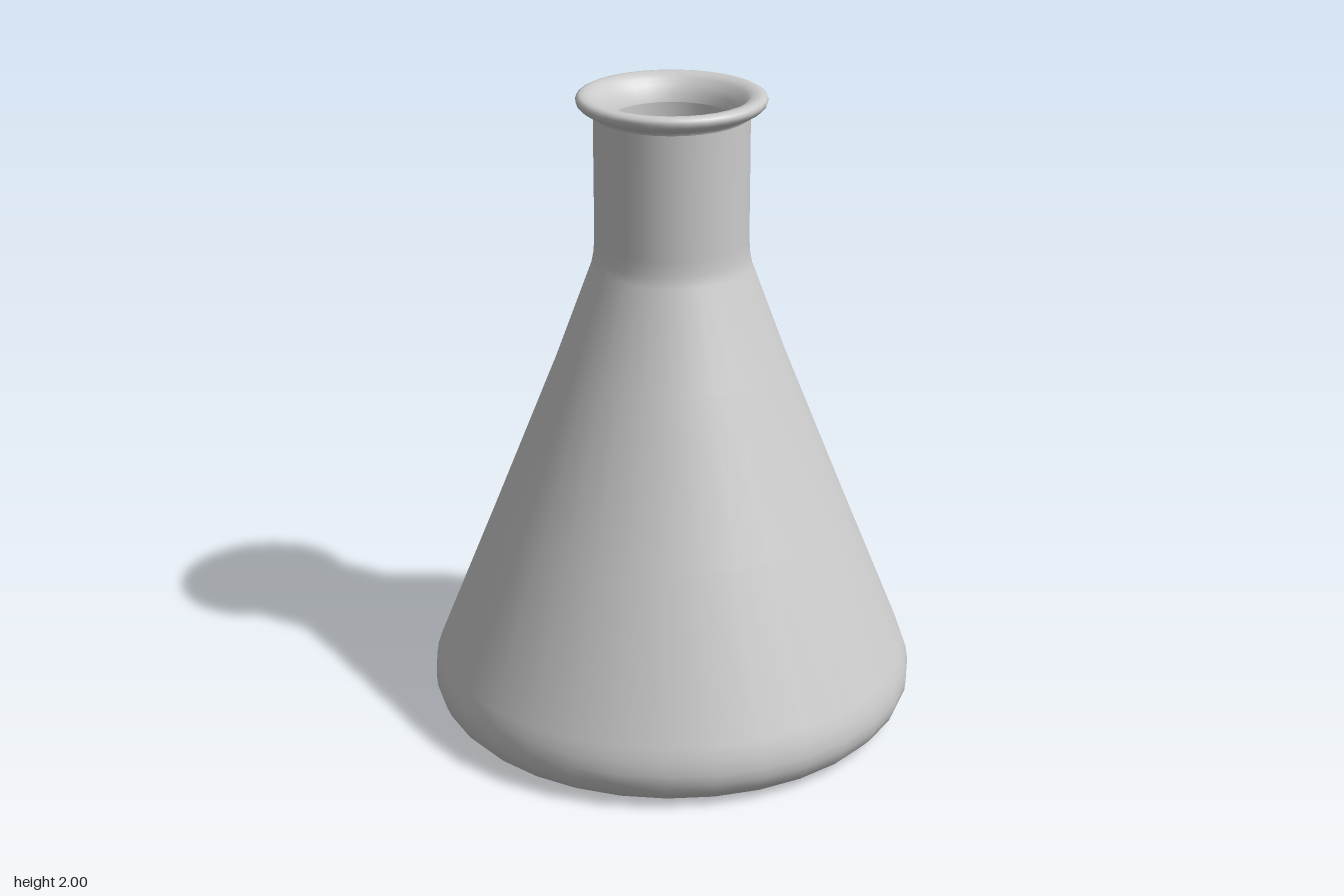
import * as THREE from 'three';

const SEGMENTS = 32;

function lathe(name, profile) {
  const points = profile.map(([r, y]) => new THREE.Vector2(r, y));
  const material = new THREE.MeshStandardMaterial({ color: 0xcccccc });
  const mesh = new THREE.Mesh(new THREE.LatheGeometry(points, SEGMENTS), material);
  mesh.name = name;
  return mesh;
}

export function createModel() {
  const group = new THREE.Group();
  group.name = 'conicalFlask';

  // Outer wall: flat base, rounded heel, cone, shoulder and straight neck
  group.add(lathe('outerWall', [
    [0, 0], [0.655, 0], [0.69, 0.007], [0.72, 0.023], [0.745, 0.05],
    [0.76, 0.085], [0.763, 0.12], [0.757, 0.16], [0.742, 0.205],
    [0.55, 0.68], [0.357, 1.165], [0.245, 1.47], [0.238, 1.505],
    [0.235, 1.55], [0.235, 1.95],
  ]));

  // Rolled lip, flaring out from the neck and back in to the mouth
  group.add(lathe('lip', [
    [0.235, 1.935], [0.238, 1.944], [0.25, 1.949], [0.268, 1.957],
    [0.282, 1.969], [0.287, 1.982], [0.284, 1.993], [0.274, 1.999],
    [0.26, 2], [0.24, 1.996], [0.226, 1.985], [0.212, 1.968],
    [0.198, 1.948], [0.19, 1.92],
  ]));

  // Inner wall, running down from the mouth to a slightly domed floor
  group.add(lathe('innerWall', [
    [0.19, 1.92], [0.19, 1.54], [0.2, 1.46], [0.31, 1.155],
    [0.5, 0.68], [0.695, 0.2], [0.715, 0.13], [0.705, 0.085],
    [0.675, 0.055], [0.63, 0.045], [0.3, 0.055], [0, 0.065],
  ]));

  return group;
}
